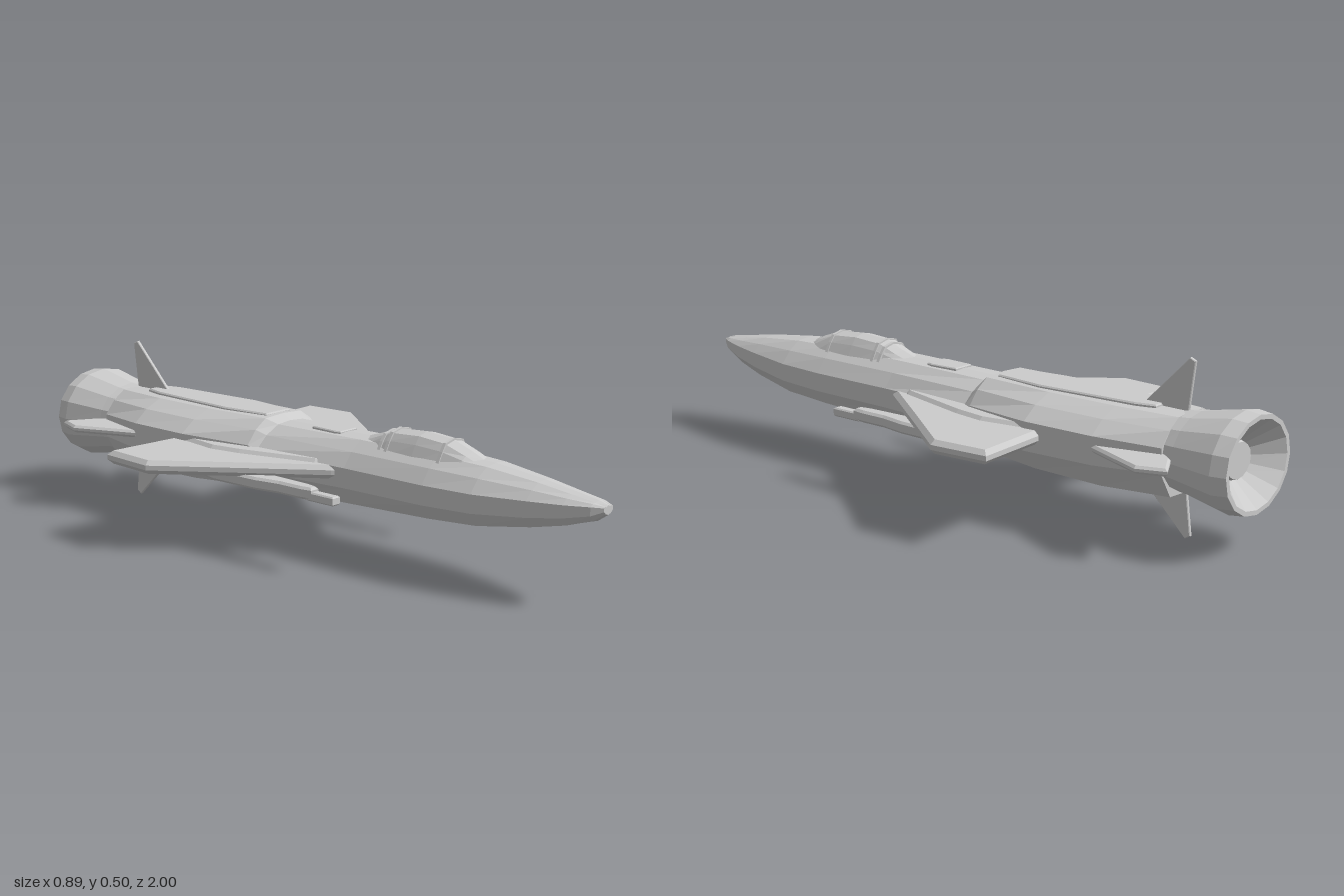
import * as THREE from 'three';

const mat = new THREE.MeshStandardMaterial({ color: 0xcccccc, flatShading: true, side: THREE.DoubleSide });

// Skin a list of rings (front to back, each counter-clockwise seen from the front) and cap both ends.
function loft(rings) {
  const pos = [];
  const tri = (...p) => p.forEach(v => pos.push(...v));
  const n = rings[0].length;
  const mid = r => [0, 1, 2].map(k => r.reduce((s, p) => s + p[k], 0) / n);
  const first = rings[0], last = rings[rings.length - 1];
  for (let j = 0; j < n; j++) {
    const k = (j + 1) % n;
    for (let i = 0; i < rings.length - 1; i++) {
      const a = rings[i], b = rings[i + 1];
      tri(a[j], b[j], b[k], a[j], b[k], a[k]);
    }
    tri(mid(first), first[j], first[k]);
    tri(mid(last), last[k], last[j]);
  }
  const g = new THREE.BufferGeometry();
  g.setAttribute('position', new THREE.Float32BufferAttribute(pos, 3));
  g.computeVertexNormals();
  return g;
}

// Mirror a half section, listed from bottom centre to top centre.
function ring(z, half) {
  const other = half.slice(1, -1).reverse().map(([x, y]) => [-x, y]);
  return [...half, ...other].map(([x, y]) => [x, y, z]);
}

// Oval ring around the engine axis.
function oval(z, rx, ry, y = 0.248, n = 16) {
  return Array.from({ length: n }, (_, i) => {
    const a = (i / n) * Math.PI * 2;
    return [rx * Math.cos(a), y + ry * Math.sin(a), z];
  });
}

// Bevelled slab from an outline; it keeps the outline's outer size.
function slab(points, thick, bevel) {
  const g = new THREE.ExtrudeGeometry(new THREE.Shape(points.map(p => new THREE.Vector2(...p))), {
    depth: thick - 2 * bevel, bevelEnabled: bevel > 0, bevelThickness: bevel,
    bevelSize: bevel, bevelOffset: -bevel, bevelSegments: 1,
  });
  return g.translate(0, 0, bevel - thick / 2);
}

// Horizontal slab from [x, z] points, centred on height y.
function flat(points, y, thick, bevel, side = 1) {
  return slab(points.map(([x, z]) => [x * side, -z]), thick, bevel).rotateX(-Math.PI / 2).translate(0, y, 0);
}

export function createModel() {
  const model = new THREE.Group();
  const add = (name, geometry) => {
    const m = new THREE.Mesh(geometry, mat);
    m.name = name;
    model.add(m);
  };

  // Fuselage: z, top half width, top y, half width, upper side y, lower side y, bottom half width, bottom y
  const stations = [
    [1.0, 0.01, 0.29, 0.02, 0.285, 0.275, 0.012, 0.268],
    [0.97, 0.016, 0.298, 0.038, 0.286, 0.262, 0.022, 0.247],
    [0.9, 0.022, 0.309, 0.06, 0.283, 0.248, 0.04, 0.225],
    [0.8, 0.03, 0.324, 0.083, 0.28, 0.235, 0.06, 0.205],
    [0.64, 0.042, 0.341, 0.112, 0.275, 0.222, 0.085, 0.183],
    [0.48, 0.05, 0.347, 0.12, 0.273, 0.217, 0.09, 0.174],
    [0.2, 0.05, 0.347, 0.121, 0.273, 0.215, 0.09, 0.164],
    [-0.12, 0.052, 0.343, 0.143, 0.278, 0.214, 0.105, 0.158],
    [-0.15, 0.075, 0.36, 0.15, 0.288, 0.213, 0.11, 0.157],
    [-0.38, 0.085, 0.358, 0.195, 0.294, 0.211, 0.145, 0.15],
    [-0.6, 0.08, 0.357, 0.184, 0.291, 0.211, 0.14, 0.144],
    [-0.79, 0.06, 0.355, 0.136, 0.283, 0.212, 0.09, 0.139],
  ];
  add('fuselage', loft(stations.map(([z, tw, top, w, yu, yl, bw, bot]) => ring(z, [
    [0, bot - 0.004], [bw, bot], [w, yl], [w, yu],
    [w * 0.55 + tw * 0.45, yu + (top - yu) * 0.56], [tw, top - 0.004], [0, top],
  ]))));

  // Exhaust nozzle with hollow bowl
  add('nozzle', loft([
    oval(-0.77, 0.132, 0.108), oval(-0.82, 0.14, 0.113), oval(-0.955, 0.166, 0.14), oval(-1, 0.156, 0.135),
    oval(-1, 0.142, 0.122), oval(-0.93, 0.062, 0.054), oval(-0.94, 0.058, 0.05),
  ]));

  // Canopy: z, half width at base, half width at top, top y
  const canopyRing = (z, w, t, y, grow = 0) => ring(z, [
    [0, 0.31], [w + grow, 0.315], [t * 0.6 + w * 0.4 + grow, 0.315 + (y - 0.315) * 0.6],
    [t + grow, y - 0.008 + grow], [0, y + grow],
  ]);
  add('canopy', loft([
    [0.6, 0.05, 0.025, 0.342], [0.56, 0.068, 0.032, 0.359], [0.49, 0.075, 0.035, 0.383], [0.4, 0.076, 0.035, 0.39],
    [0.3, 0.074, 0.034, 0.384], [0.24, 0.066, 0.032, 0.362], [0.19, 0.05, 0.028, 0.346],
  ].map(s => canopyRing(...s))));
  for (const [z, y] of [[0.492, 0.383], [0.305, 0.385], [0.28, 0.377]]) {
    add('canopyFrame', loft([canopyRing(z + 0.005, 0.074, 0.035, y, 0.003), canopyRing(z - 0.005, 0.074, 0.035, y, 0.003)]));
  }

  // Raised panels along the back
  const both = half => [...half, ...half.slice().reverse().map(([x, z]) => [-x, z])];
  add('spineHatch', flat(both([[0.035, 0.11], [0.04, 0.09], [0.035, 0]]), 0.344, 0.012, 0.003));
  add('enginePanel', flat(both([[0.05, -0.17], [0.068, -0.33], [0.05, -0.64], [0.035, -0.7]]), 0.356, 0.014, 0.004));

  for (const side of [1, -1]) {
    // Main wing, its root fairing and the raised strip on top
    add('wing', flat([[0.09, 0.2], [0.13, 0.16], [0.3, -0.07], [0.446, -0.265], [0.432, -0.445], [0.12, -0.425]],
      0.255, 0.04, 0.013, side));
    add('wingRootFairing', flat([[0.1, 0.14], [0.135, 0.1], [0.2, -0.14], [0.215, -0.24], [0.19, -0.4], [0.1, -0.4]],
      0.265, 0.04, 0.012, side));

    // Gun pod hung under the wing
    add('gunPod', flat([[0.226, 0.2], [0.256, 0.2], [0.262, 0.16], [0.262, 0.08], [0.276, 0], [0.28, -0.16],
      [0.265, -0.22], [0.225, -0.22], [0.212, -0.16], [0.212, 0.0], [0.218, 0.16]], 0.223, 0.036, 0.007, side));
    add('gunBarrel', flat([[0.226, 0.28], [0.256, 0.28], [0.256, 0.18], [0.226, 0.18]], 0.216, 0.026, 0.004, side));

    // Horizontal tail fin
    add('tailplane', flat([[0.15, -0.57], [0.185, -0.6], [0.266, -0.795], [0.236, -0.877], [0.145, -0.825], [0.11, -0.78]],
      0.256, 0.022, 0.007, side));
  }

  // Upper and lower vertical fins, drawn in z and y
  const fin = pts => slab(pts, 0.011, 0.002).rotateY(-Math.PI / 2);
  add('upperFin', fin([[-0.62, 0.33], [-0.64, 0.355], [-0.783, 0.5], [-0.8, 0.492], [-0.78, 0.33]]));
  add('lowerFin', fin([[-0.62, 0.165], [-0.64, 0.14], [-0.783, 0], [-0.8, 0.01], [-0.78, 0.165]]));

  return model;
}
